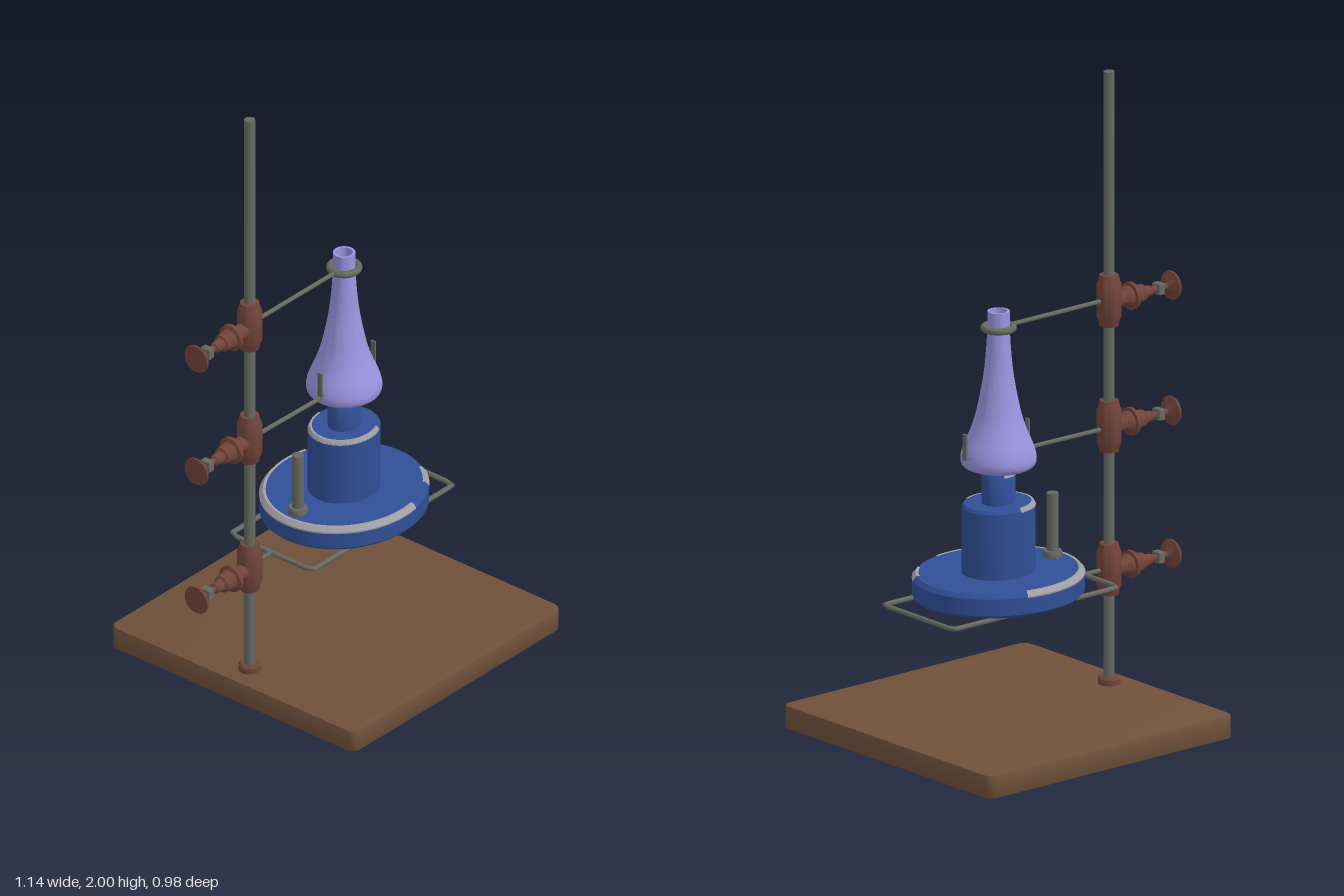
import * as THREE from 'three';
import { RoundedBoxGeometry } from 'three/addons/geometries/RoundedBoxGeometry.js';
import { toCreasedNormals } from 'three/addons/utils/BufferGeometryUtils.js';

const material = (name, color, side = THREE.FrontSide) => {
  const m = new THREE.MeshStandardMaterial({ color, side });
  m.name = name;
  return m;
};

// Smooth lathe with crisp steps, from [radius, height] pairs
function turned(points, segments = 40, start = 0, length = Math.PI * 2) {
  const profile = points.map(([r, y]) => new THREE.Vector2(r, y));
  return toCreasedNormals(new THREE.LatheGeometry(profile, segments, start, length), 0.6);
}

export function createModel() {
  const wood = material('brown wood', 0x6f513b);
  const iron = material('dark grey metal', 0x666961);
  const bronze = material('red brown metal', 0x714439);
  const blue = material('blue enamel', 0x2f4f96);
  const worn = material('worn grey', 0xa0a0a4, THREE.DoubleSide);
  const glass = material('violet glass', 0x9b93e0, THREE.DoubleSide);

  const model = new THREE.Group();
  model.name = 'burnerStand';

  function add(name, geometry, mat, x = 0, y = 0, z = 0, parent = model) {
    const mesh = new THREE.Mesh(geometry, mat);
    mesh.name = name;
    mesh.position.set(x, y, z);
    parent.add(mesh);
    return mesh;
  }
  function wire(name, points, radius, closed = false) {
    const path = new THREE.CurvePath();
    const v = points.map((p) => new THREE.Vector3(...p));
    if (closed) v.push(v[0].clone());
    for (let i = 1; i < v.length; i++) path.add(new THREE.LineCurve3(v[i - 1], v[i]));
    return add(name, new THREE.TubeGeometry(path, 64, radius, 10, closed), iron);
  }

  // Wooden base, turned very slightly
  const plan = new THREE.Shape();
  const h = 0.479, c = 0.03;
  plan.moveTo(-h + c, -h).lineTo(h - c, -h).quadraticCurveTo(h, -h, h, -h + c);
  plan.lineTo(h, h - c).quadraticCurveTo(h, h, h - c, h);
  plan.lineTo(-h + c, h).quadraticCurveTo(-h, h, -h, h - c);
  plan.lineTo(-h, -h + c).quadraticCurveTo(-h, -h, -h + c, -h);
  const board = new THREE.ExtrudeGeometry(plan, {
    depth: 0.064, bevelSize: 0.004, bevelThickness: 0.004, bevelSegments: 2, curveSegments: 6,
  });
  board.rotateX(-Math.PI / 2);
  add('base', toCreasedNormals(board, 0.6), wood, 0.084, 0.005, -0.002).rotation.y = -0.011;

  // Upright rod with its foot
  const rodX = -0.317, rodZ = -0.005;
  add('rod', new THREE.CylinderGeometry(0.017, 0.017, 1.93, 24), iron, rodX, 1.035, rodZ);
  add('rodFoot', turned([[0, 0], [0.034, 0], [0.034, 0.018], [0.028, 0.025], [0, 0.025]]),
    bronze, rodX, 0.072, rodZ);

  // Three clamps, each a collar and a sideways thumbscrew
  const collar = turned([[0.017, -0.08], [0.029, -0.08], [0.033, -0.062], [0.038, -0.05],
    [0.038, 0.05], [0.033, 0.062], [0.029, 0.08], [0.017, 0.08]], 28);
  const screw = turned([[0, 0.03], [0.024, 0.03], [0.024, 0.055], [0.033, 0.068], [0.033, 0.078],
    [0.043, 0.08], [0.043, 0.092], [0.032, 0.096], [0.027, 0.125], [0.027, 0.132], [0.02, 0.136],
    [0.016, 0.165], [0.011, 0.168], [0.01, 0.228], [0.02, 0.236], [0.044, 0.244],
    [0.046, 0.248], [0.044, 0.252], [0.012, 0.253], [0, 0.253]], 20);
  screw.rotateZ(Math.PI / 2);
  for (const y of [1.28, 0.885, 0.435]) {
    const clamp = new THREE.Group();
    clamp.name = 'clamp';
    clamp.position.set(rodX, y, rodZ);
    add('collar', collar, bronze, 0, 0, 0, clamp);
    add('thumbscrew', screw, bronze, 0, -0.005, 0, clamp);
    add('nut', new RoundedBoxGeometry(0.024, 0.036, 0.036, 1, 0.004), iron, -0.198, -0.005, 0, clamp);
    model.add(clamp);
  }

  // Upper arm and ring round the flask neck
  const cx = 0.12;
  wire('upperArm', [[-0.29, 1.282, rodZ], [0.075, 1.282, 0]], 0.007);
  const ring = add('neckRing', new THREE.TorusGeometry(0.044, 0.011, 12, 40), iron, cx, 1.282, 0);
  ring.rotation.x = Math.PI / 2;

  // Middle arm with two upright prongs
  wire('middleArm', [[-0.29, 0.878, rodZ], [0.02, 0.878, 0.005]], 0.007);
  for (const [x, z] of [[-0.002, 0.008], [0.245, 0.01]]) {
    add('prong', new THREE.BoxGeometry(0.006, 0.082, 0.016), iron, x, 0.928, z);
    add('prongFoot', new THREE.BoxGeometry(0.035, 0.006, 0.016), iron,
      x + (x < cx ? 0.015 : -0.015), 0.89, z);
  }

  // Lower arm and rectangular wire shelf
  const fy = 0.435;
  wire('lowerArm', [[-0.29, fy, rodZ], [-0.216, fy, -0.004]], 0.007);
  wire('shelf', [[-0.205, fy, -0.168], [0.437, fy, -0.161], [0.443, fy, -0.153], [0.437, fy, 0.157],
    [0.429, fy, 0.164], [-0.211, fy, 0.157], [-0.219, fy, 0.149], [-0.213, fy, -0.16]], 0.008, true);

  // Burner, slightly oval, with worn edges
  const burner = new THREE.Group();
  burner.name = 'burner';
  burner.position.set(cx, 0, 0);
  burner.scale.z = 0.89;
  model.add(burner);
  add('burnerFoot', turned([[0, 0.443], [0.262, 0.443], [0.272, 0.452], [0.272, 0.505],
    [0.26, 0.519], [0, 0.519]], 64), blue, 0, 0, 0, burner);
  add('burnerBody', turned([[0, 0.515], [0.117, 0.515], [0.117, 0.725], [0.11, 0.734], [0, 0.734]], 48),
    blue, 0, 0, 0, burner);
  add('burnerNeck', turned([[0, 0.73], [0.053, 0.73], [0.053, 0.822], [0.048, 0.83], [0, 0.83]], 36),
    blue, 0, 0, 0, burner);
  // Angles run from the front towards +x
  const wear = (name, points, start, length) =>
    add(name, turned(points, 40, start, length), worn, 0, 0, 0, burner);
  const edge = [[0.273, 0.502], [0.2735, 0.507], [0.261, 0.521], [0.252, 0.5205]];
  wear('wornFootEdge', edge, Math.PI * 0.9, Math.PI * 1.16);
  wear('wornFootCorner', edge, Math.PI * 0.22, Math.PI * 0.12);
  wear('wornBodyEdge', [[0.118, 0.723], [0.111, 0.7355], [0.104, 0.7355]], Math.PI * 1.0, Math.PI * 1.15);
  wear('wornNeckEdge', [[0.054, 0.82], [0.049, 0.8315], [0.044, 0.8315]], Math.PI * 0.9, Math.PI * 0.9);

  // Regulator stem on the burner foot
  add('regulatorStem', new THREE.CylinderGeometry(0.018, 0.018, 0.205, 20), iron, -0.092, 0.6175, -0.004);
  add('regulatorCollar', turned([[0, 0], [0.029, 0], [0.031, 0.012], [0.027, 0.022], [0, 0.022]], 24),
    iron, -0.092, 0.518, -0.004);

  // Open-mouthed flask
  const outer = new THREE.SplineCurve([[0.088, 0.842], [0.109, 0.853], [0.115, 0.875], [0.107, 0.91],
    [0.087, 0.958], [0.07, 1.01], [0.056, 1.075], [0.045, 1.14], [0.038, 1.21], [0.034, 1.28],
    [0.034, 1.335]].map(([x, y]) => new THREE.Vector2(x, y))).getPoints(40).map((p) => [p.x, p.y]);
  const flask = [[0, 0.842], ...outer, [0.026, 1.335], [0.026, 1.25], [0, 1.25]];
  add('flask', turned(flask, 48), glass, cx, 0, 0);

  return model;
}
